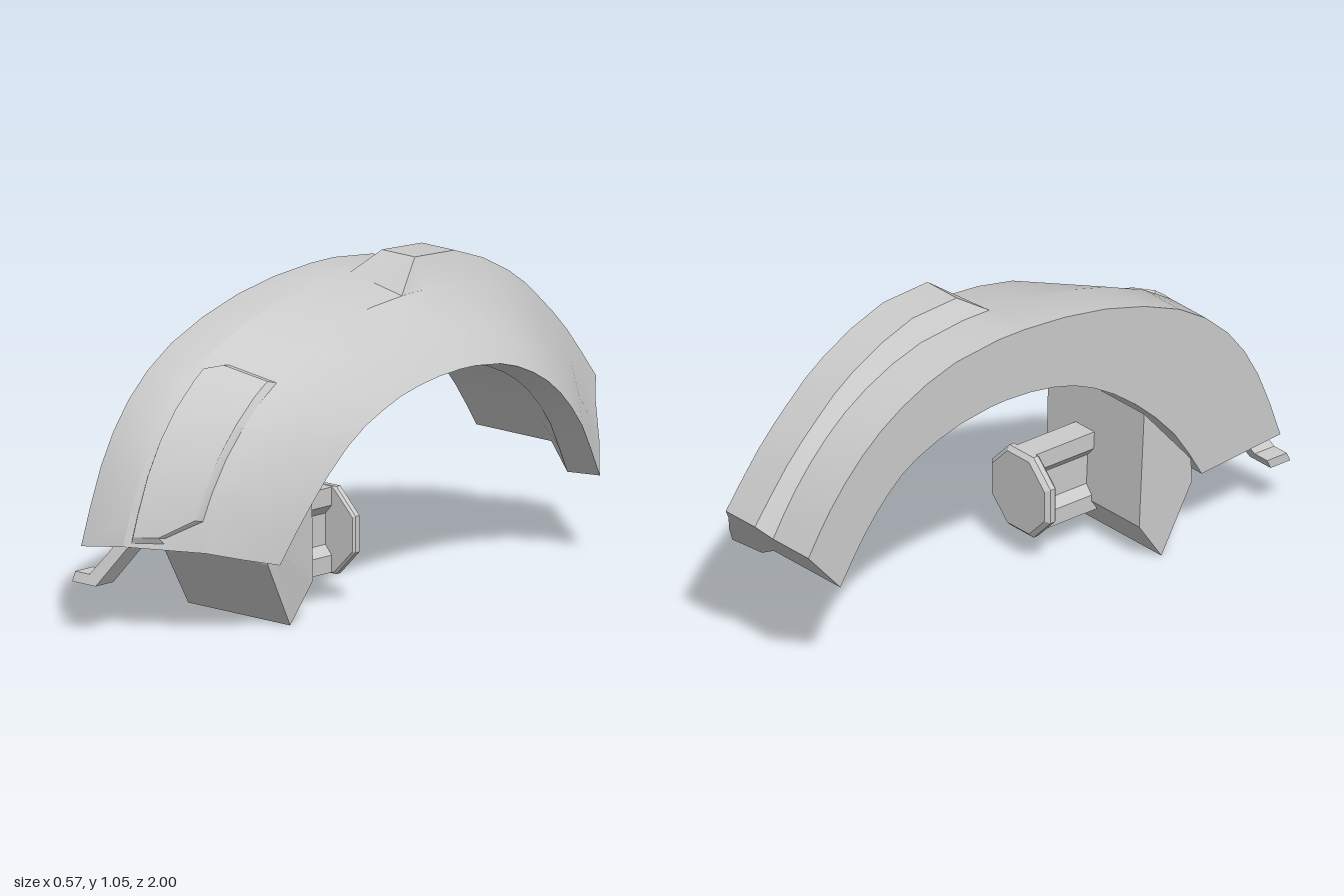
import * as THREE from 'three';
import { toCreasedNormals } from 'three/addons/utils/BufferGeometryUtils.js';

const mat = new THREE.MeshStandardMaterial({ color: 0xcccccc });
const flatMat = new THREE.MeshStandardMaterial({ color: 0xcccccc, flatShading: true });

// Smooth arch tracks given as [z, y], running from the front end over the top to the rear end
const track = pts => {
  const curve = new THREE.CatmullRomCurve3(
    pts.map(([z, y]) => new THREE.Vector3(0, y, z)), false, 'catmullrom', .5);
  return t => {
    const p = curve.getPoint(t / (pts.length - 1));
    return [p.z, p.y];
  };
};
const crown = track([[.96, .265], [.87, .505], [.745, .695], [.55, .842], [.25, .945], [-.08, .985],
  [-.36, .965], [-.58, .88], [-.74, .765], [-.87, .62], [-.96, .48]]);
const shoulder = track([[.81, .28], [.76, .47], [.64, .65], [.47, .78], [.2, .905], [-.08, .945],
  [-.34, .935], [-.56, .86], [-.71, .75], [-.84, .615], [-.955, .465]]);
const lip = track([[.6, .225], [.5, .4], [.35, .57], [.2, .66], [.04, .71], [-.15, .73],
  [-.33, .715], [-.48, .66], [-.6, .575], [-.7, .45], [-.8, .27]]);
const roof = track([[.64, .235], [.53, .41], [.37, .57], [.2, .685], [.04, .742], [-.15, .762],
  [-.34, .742], [-.52, .68], [-.63, .6], [-.735, .48], [-.83, .335]]);
const spineTop = track([[-.08, 1.045], [-.36, 1.035], [-.6, .93], [-.74, .82], [-.87, .69], [-1, .52]]);
const lipX = [.22, .255, .275, .283, .285, .285, .285, .285, .285, .285, .265];

const lerp = THREE.MathUtils.lerp;
const mix = (a, b, f) => [lerp(a[0], b[0], f), lerp(a[1], b[1], f)];
// Push a [z, y] point away from the wheel centre
const out = ([z, y], d) => {
  const l = Math.hypot(z + .12, y - .1);
  return [z + (z + .12) / l * d, y + (y - .1) / l * d];
};
const pt = (x, [z, y]) => [x, y, z];
// Outer skin between crown and shoulder, raised by d
const skin = (t, x, d = 0) =>
  pt(x, out(mix(crown(Math.max(t, .1)), shoulder(t), (x + .12) / .22), d));

// Closed rings joined from front to rear, with both ends capped
function loft(rings, crease) {
  const n = rings[0].length, pos = [], index = [];
  rings.forEach(r => r.forEach(p => pos.push(...p)));
  for (let i = 0; i < rings.length - 1; i++) {
    for (let j = 0; j < n; j++) {
      const a = i * n + j, b = i * n + (j + 1) % n;
      index.push(a, b, b + n, a, b + n, a + n);
    }
  }
  [0, rings.length - 1].forEach(k => {
    const flat = rings[k].map(([x, y, z]) => new THREE.Vector2(x, Math.hypot(z + .12, y - .1)));
    const order = flat.map((_, i) => i);
    if (THREE.ShapeUtils.isClockWise(flat)) { flat.reverse(); order.reverse(); }
    THREE.ShapeUtils.triangulateShape(flat, []).forEach(([a, b, c]) => {
      const ccw = THREE.ShapeUtils.area([flat[a], flat[b], flat[c]]) > 0;
      const tri = [a, b, c].map(v => order[v] + k * n);
      if (ccw !== (k === 0)) tri.reverse();
      index.push(...tri);
    });
  });
  const g = new THREE.BufferGeometry();
  g.setAttribute('position', new THREE.Float32BufferAttribute(pos, 3));
  g.setIndex(index);
  return toCreasedNormals(g, crease);
}

const extrude = (pts, depth) => new THREE.ExtrudeGeometry(
  new THREE.Shape(pts.map(p => new THREE.Vector2(...p))), { depth, bevelEnabled: false });

export function createModel() {
  const model = new THREE.Group();
  const add = (name, geometry, material = mat, parent = model) => {
    const mesh = new THREE.Mesh(geometry, material);
    mesh.name = name;
    parent.add(mesh);
  };

  // Arched fender body: sloped outer wall, lowered outer lip, raised spine on the rear half
  const stations = [];
  for (let t = 0; t <= 10; t += .5) stations.push(t === 5.5 ? 5.35 : t);
  add('fenderBody', loft(stations.map(t => {
    const i = Math.min(Math.floor(t), 9), x = lerp(lipX[i], lipX[i + 1], t - i);
    const b = shoulder(t), d = lip(t), raised = t > 5;
    return [
      pt(-.29, crown(t)),
      skin(t, -.12),
      raised ? pt(-.08, spineTop(t - 5)) : skin(t, -.119),
      raised ? pt(.06, spineTop(t - 5)) : skin(t, .099),
      pt(.1, b),
      pt(lerp(.1, x, .58), out(mix(b, d, .54), .015 - t * .0015)),
      pt(x, d),
      pt(x - .12 + Math.max(0, .07 - t * .07), out(d, -.02)),
      pt(.03, roof(t)),
      pt(-.29, roof(t)),
    ];
  }), .5));

  // Raised panel on the front of the arch, with bevelled bottom and sides
  const panelRows = [[.14, -.1, .0, 0], [.22, -.1, -.01, .016], [.5, -.1, .08, .016], [1, -.1, .09, .016],
    [1.5, -.1, .095, .016], [2, -.1, .1, .016], [2.5, -.1, .1, .016], [2.7, -.1, .1, .016],
    [2.85, -.06, .1, .016], [2.91, -.06, .1, 0]];
  add('frontPanel', loft(panelRows.map(([t, l, r, h]) => [
    skin(t, l, -.02), skin(t, l), skin(t, l + .01, h),
    skin(t, r - .012, h), skin(t, r), skin(t, r, -.02),
  ]), .5));

  // Hooked tab below the front end, leaning forward as it drops
  const tab = extrude([[-.09, .315], [-.15, .315], [-.18, .26], [-.23, .19],
    [-.29, .19], [-.29, .16], [-.19, .16]], .08);
  const tp = tab.attributes.position;
  for (let i = 0; i < tp.count; i++) tp.setZ(i, tp.getZ(i) + .92 - (tp.getY(i) - .16) * .46);
  tab.computeVertexNormals();
  add('frontTab', tab, flatMat);

  // Wedge-shaped mount under the front end, narrowing towards its foot
  const wedge = extrude([[.6, .3], [.41, .52], [.39, .13], [.48, 0], [.605, .22]], .46);
  const wp = wedge.attributes.position;
  for (let i = 0; i < wp.count; i++) {
    if (wp.getZ(i) < .01) wp.setZ(i, Math.max(0, .025 - wp.getY(i) * .1));
  }
  wedge.rotateY(-Math.PI / 2).translate(.175, 0, 0);
  for (let i = 0; i < wp.count; i++) wp.setX(i, Math.max(wp.getX(i), -.29));
  wedge.computeVertexNormals();
  add('mountWedge', wedge, flatMat);

  // Octagonal hub plate carried on a beam with bevelled flanges
  const hub = new THREE.Group();
  hub.name = 'hub';
  hub.position.set(-.01, .23, 0);
  model.add(hub);
  const profile = [[0, 0], [.136, 0], [.1515, .014], [.1515, .032], [.144, .04], [0, .04]];
  const disc = new THREE.LatheGeometry(profile.map(p => new THREE.Vector2(...p)), 8, Math.PI / 8);
  disc.rotateX(Math.PI / 2).translate(0, 0, .13);
  add('hubPlate', disc, flatMat, hub);
  const side = [[.045, -.135], [.045, -.08], [.018, -.05], [.018, .05], [.045, .08], [.045, .138]];
  const beam = extrude([...side, ...side.map(([x, y]) => [-x, y]).reverse()], .25);
  beam.translate(0, 0, .16);
  add('hubBeam', beam, flatMat, hub);
  return model;
}
